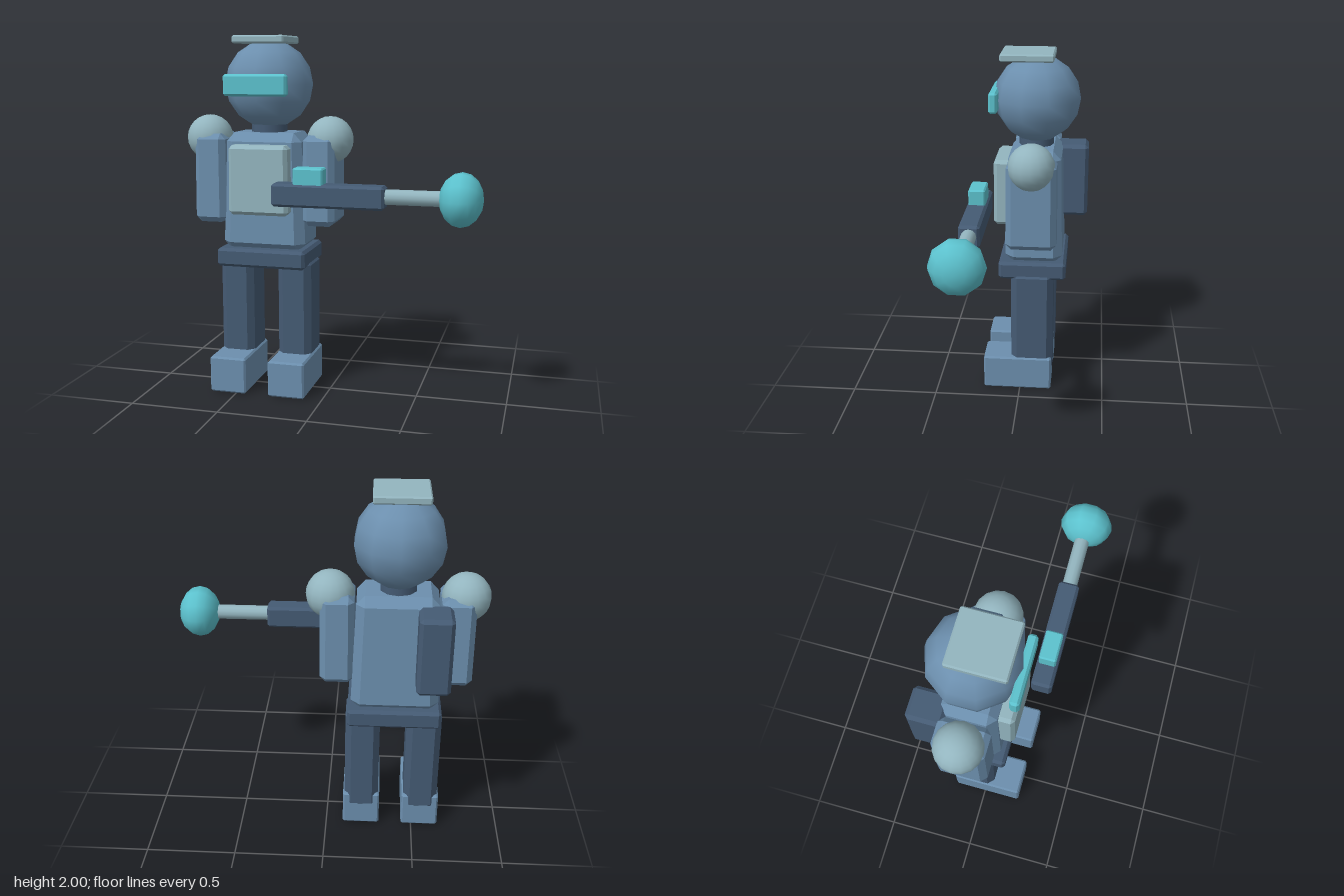
import * as THREE from 'three';
import { ConvexGeometry } from 'three/addons/geometries/ConvexGeometry.js';

const mat = (name, color) => {
  const m = new THREE.MeshStandardMaterial({ color });
  m.name = name;
  return m;
};

// Box with cut edges; c is the size of the cut, t narrows the top
function chamferBox(w, h, d, c, t = 1) {
  const pts = [];
  for (const sx of [-1, 1]) for (const sy of [-1, 1]) for (const sz of [-1, 1]) {
    for (const [a, b, e] of [[0, c, c], [c, 0, c], [c, c, 0]]) {
      const k = sy > 0 ? t : 1;
      pts.push(new THREE.Vector3(sx * (w / 2 - a) * k, sy * (h / 2 - b), sz * (d / 2 - e) * k));
    }
  }
  return new ConvexGeometry(pts);
}

export function createModel() {
  const steel = mat('steel blue', 0x6c8fae);
  const navy = mat('dark blue', 0x455b74);
  const pale = mat('pale blue grey', 0x93b5bf);
  const teal = mat('teal', 0x5cc2ce);

  const root = new THREE.Group();
  root.name = 'robot';
  const CX = -0.375; // middle of the body
  const CZ = -0.075;

  function add(name, geo, material, x, y, z) {
    const m = new THREE.Mesh(geo, material);
    m.name = name;
    m.position.set(x, y, z);
    root.add(m);
    return m;
  }
  // Box given by its limits on each axis
  function box(name, material, [x0, x1], [y0, y1], [z0, z1], c = 0.012, t = 1) {
    return add(name, chamferBox(x1 - x0, y1 - y0, z1 - z0, c, t), material,
      (x0 + x1) / 2, (y0 + y1) / 2, (z0 + z1) / 2);
  }

  // Head
  add('head', new THREE.SphereGeometry(0.247, 10, 8).rotateY(Math.PI / 2), steel, CX, 1.735, -0.078);
  box('headPlate', pale, [-0.523, -0.229], [1.957, 2], [-0.177, 0.124], 0.008);
  box('visor', teal, [-0.557, -0.197], [1.674, 1.793], [0.135, 0.184], 0.012);
  add('neck', new THREE.CylinderGeometry(0.1, 0.1, 0.16, 10), navy, CX, 1.49, CZ);

  // Body
  box('torso', steel, [-0.615, -0.135], [0.8, 1.47], [-0.24, 0.09], 0.05, 0.91);
  box('chestPlate', pale, [-0.547, -0.203], [1.02, 1.407], [0.04, 0.16], 0.02, 0.98);
  box('belt', navy, [-0.632, -0.118], [0.715, 0.82], [-0.264, 0.127], 0.016);
  box('backpack', navy, [-0.66, -0.48], [0.99, 1.43], [-0.377, -0.18], 0.02);

  // Limbs, mirrored about the middle of the body
  for (const [side, s] of [['right', -1], ['left', 1]]) {
    add(side + 'Shoulder', new THREE.SphereGeometry(0.131, 16, 12), pale, CX + s * 0.358, 1.43, -0.07);
    add(side + 'Arm', chamferBox(0.185, 0.505, 0.285, 0.032, 0.97), steel, CX + s * 0.3175, 1.207, -0.07);
    add(side + 'Leg', chamferBox(0.194, 0.65, 0.248, 0.035), navy, CX + s * 0.171, 0.435, -0.07);
    add(side + 'Foot', chamferBox(0.212, 0.207, 0.405, 0.01), steel, CX + s * 0.171, 0.1035, 0.0145);
  }

  // Blaster held across the front
  box('blasterBody', navy, [-0.257, 0.357], [1.095, 1.22], [0.17, 0.283], 0.014);
  box('blasterSight', teal, [-0.138, 0.026], [1.19, 1.305], [0.18, 0.273], 0.008);
  add('blasterBarrel', new THREE.CylinderGeometry(0.041, 0.041, 0.42, 12).rotateZ(Math.PI / 2),
    pale, 0.53, 1.163, 0.227);
  add('blasterTip', new THREE.SphereGeometry(0.145, 10, 8).scale(1, 0.79, 1)
    .rotateY(Math.PI / 2).rotateZ(Math.PI / 2), teal, 0.75, 1.163, 0.228);

  return root;
}
